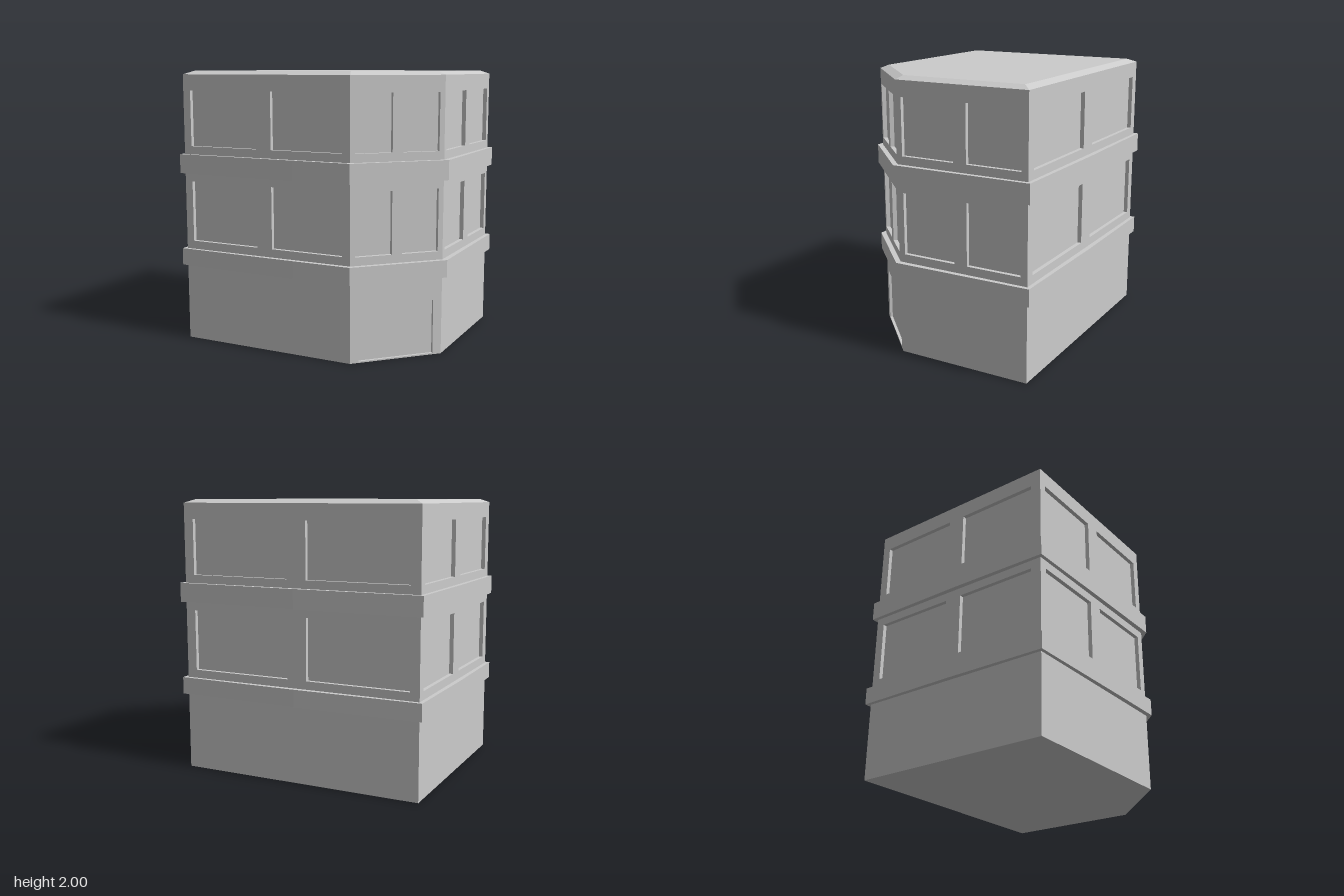
import * as THREE from 'three';

const material = new THREE.MeshStandardMaterial({ color: 0xcccccc, flatShading: true });

// Plan corners [x, z], counter-clockwise from the front right corner post
const plan = [[-0.92, 0.75], [0.43, 0.75], [0.915, 0.26], [0.915, -0.75], [-0.92, -0.75]];
const roofPlan = [[-0.86, 0.69], [0.405, 0.69], [0.855, 0.235], [0.855, -0.69], [-0.86, -0.69]];
const bandPlan = [[-0.948, 0.775], [0, 0.785], [0.445, 0.787], [0.955, 0.27],
  [0.945, -0.778], [0, -0.788], [-0.948, -0.778], [-0.956, 0]];
const eaves = 1.975, top = 2;

// Window spans along each wall, measured from its plan corner
const wallNames = ['frontWall', 'cornerWall', 'leftWall', 'backWall', 'rightWall'];
const windowSpans = [
  [[0.06, 0.615], [0.735, 1.29]],
  [[0.036, 0.305], [0.383, 0.652]],
  [[0.04, 0.45], [0.55, 0.96]],
  [[0.075, 0.845], [0.995, 1.765]],
  [[0.065, 0.68], [0.81, 1.42]],
];
const windowRows = [[0.75, 1.195], [1.455, 1.86]];

function add(parent, name, geometry) {
  const mesh = new THREE.Mesh(geometry, material);
  mesh.name = name;
  parent.add(mesh);
  return mesh;
}

const planShape = (points, sign) => new THREE.Shape(points.map(([x, z]) => new THREE.Vector2(x, sign * z)));

const rectangle = (x0, x1, y0, y1) => [[x0, y0], [x1, y0], [x1, y1], [x0, y1]].map(([x, y]) => new THREE.Vector2(x, y));

// Inward-facing box, open at the front: reveals plus the sunken pane
function recessGeometry(x0, x1, y0, y1, depth) {
  const box = new THREE.BoxGeometry(x1 - x0, y1 - y0, depth);
  const index = Array.from(box.index.array).filter((_, i) => i < 24 || i >= 30);
  box.setIndex(index.reverse());
  box.translate((x0 + x1) / 2, (y0 + y1) / 2, -depth / 2);
  const geometry = box.toNonIndexed();
  geometry.computeVertexNormals();
  return geometry;
}

// One wall face with its openings, placed between two plan corners
function makeWall(i) {
  const [ax, az] = plan[i], [bx, bz] = plan[(i + 1) % plan.length];
  const wall = new THREE.Group();
  wall.name = wallNames[i];
  const openings = [];
  for (const [y0, y1] of windowRows)
    for (const [x0, x1] of windowSpans[i]) openings.push(['window', x0, x1, y0, y1, 0.03]);
  if (wallNames[i] === 'cornerWall') openings.push(['door', 0.064, 0.624, 0.01, 0.4, 0.02]);

  const face = new THREE.Shape(rectangle(0, Math.hypot(bx - ax, bz - az), 0, eaves));
  for (const [name, x0, x1, y0, y1, depth] of openings) {
    face.holes.push(new THREE.Path(rectangle(x0, x1, y0, y1).reverse()));
    add(wall, name, recessGeometry(x0, x1, y0, y1, depth));
  }
  add(wall, 'wallFace', new THREE.ShapeGeometry(face));
  wall.position.set(ax, 0, az);
  wall.rotation.y = Math.atan2(az - bz, bx - ax);
  return wall;
}

// Sloping strip between the eaves and the flat roof
function roofEdgeGeometry() {
  const positions = [];
  plan.forEach((a, i) => {
    const j = (i + 1) % plan.length;
    const b = plan[j], c = roofPlan[j], d = roofPlan[i];
    for (const [[x, z], y] of [[a, eaves], [b, eaves], [c, top], [a, eaves], [c, top], [d, top]])
      positions.push(x, y, z);
  });
  const geometry = new THREE.BufferGeometry();
  geometry.setAttribute('position', new THREE.Float32BufferAttribute(positions, 3));
  geometry.computeVertexNormals();
  return geometry;
}

export function createModel() {
  const building = new THREE.Group();
  building.name = 'cornerBuilding';

  plan.forEach((_, i) => building.add(makeWall(i)));

  // Roof and underside
  add(building, 'roofEdge', roofEdgeGeometry());
  add(building, 'roof', new THREE.ShapeGeometry(planShape(roofPlan, -1)).rotateX(-Math.PI / 2)).position.y = top;
  add(building, 'underside', new THREE.ShapeGeometry(planShape(plan, 1)).rotateX(Math.PI / 2));

  // Projecting bands between the storeys
  for (const [name, y0, y1] of [['lowerBand', 0.565, 0.69], ['upperBand', 1.255, 1.395]]) {
    const geometry = new THREE.ExtrudeGeometry(planShape(bandPlan, -1), { depth: y1 - y0, bevelEnabled: false });
    add(building, name, geometry.rotateX(-Math.PI / 2)).position.y = y0;
  }
  return building;
}
